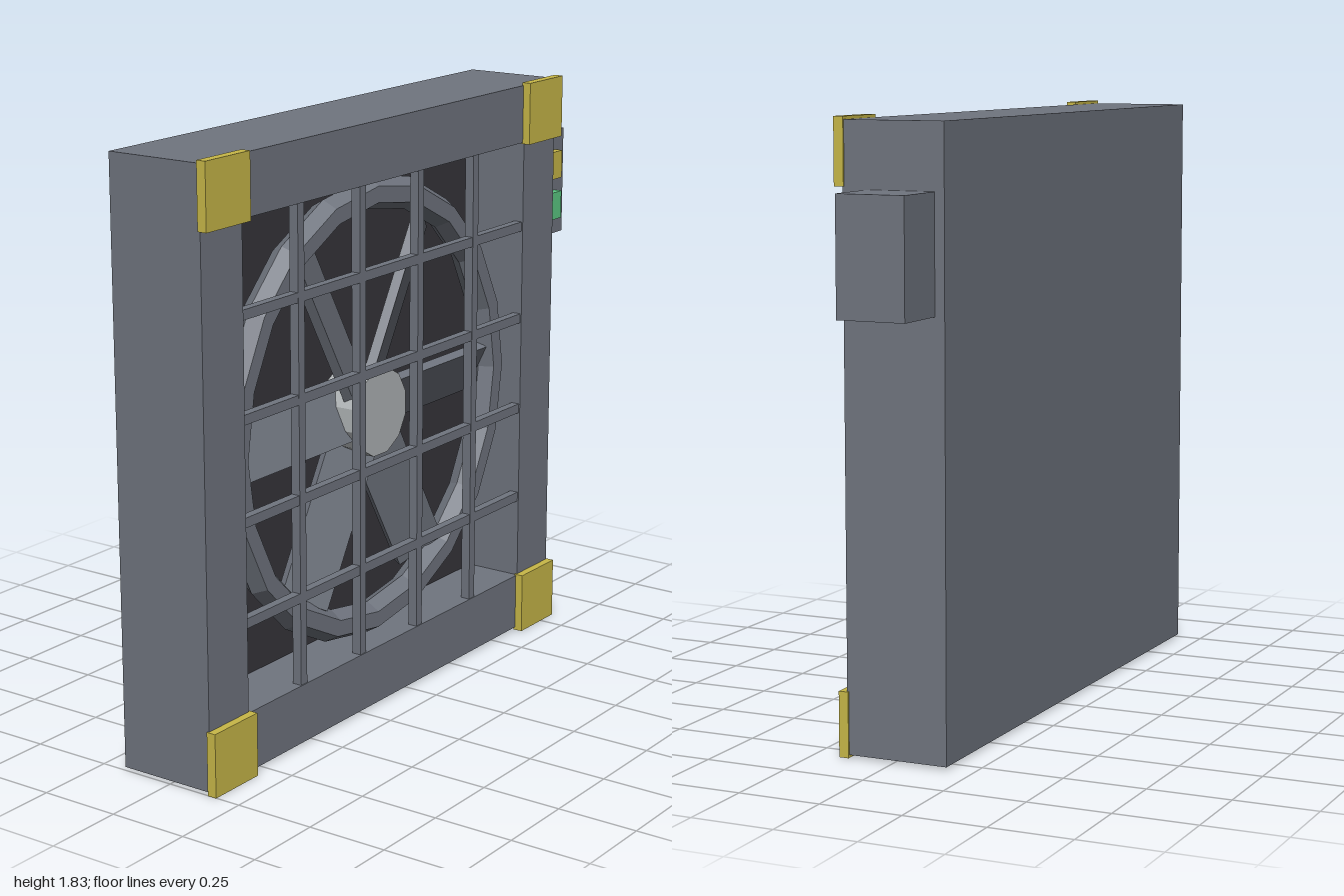
import * as THREE from 'three';

const mat = (name, color) => {
  const m = new THREE.MeshStandardMaterial({ color });
  m.name = name;
  return m;
};

export function createModel() {
  const steel = mat('steelGrey', 0x70757f);
  const dark = mat('darkRecess', 0x36353b);
  const yellow = mat('yellow', 0xc8b848);
  const green = mat('green', 0x5cc983);
  const silver = mat('silver', 0xb0b4b6);

  const model = new THREE.Group();
  model.name = 'wallFan';
  const CX = -0.09, CY = 0.917; // fan centre

  const add = (name, geometry, material, x, y, z, parent = model) => {
    const mesh = new THREE.Mesh(geometry, material);
    mesh.name = name;
    mesh.position.set(x, y, z);
    parent.add(mesh);
    return mesh;
  };
  const box = (name, material, w, h, d, x, y, z, parent) =>
    add(name, new THREE.BoxGeometry(w, h, d), material, x, y, z, parent);

  // Housing: square frame in front of a solid back
  const square = (P, s) => new P([
    new THREE.Vector2(-s, -s), new THREE.Vector2(s, -s),
    new THREE.Vector2(s, s), new THREE.Vector2(-s, s),
  ]);
  const outline = square(THREE.Shape, 0.907);
  outline.holes.push(square(THREE.Path, 0.725));
  add('frame', new THREE.ExtrudeGeometry(outline, { depth: 0.195, bevelEnabled: false }),
    steel, CX, CY, -0.05);
  box('housingBack', steel, 1.814, 1.814, 0.12, CX, CY, -0.11);
  box('recessPanel', dark, 1.45, 1.45, 0.008, CX, CY, -0.046);

  // Fan: faceted ring, six pitched blades and a hub
  const fan = new THREE.Group();
  fan.name = 'fan';
  fan.position.set(CX, CY, 0);
  model.add(fan);

  const ringGeo = new THREE.TorusGeometry(0.67, 0.05, 6, 20).toNonIndexed();
  ringGeo.computeVertexNormals();
  add('fanRing', ringGeo, steel, 0, 0, 0.05, fan);

  for (let i = 0; i < 6; i++) {
    const arm = new THREE.Group();
    arm.name = 'bladeArm';
    arm.rotation.z = i * Math.PI / 3;
    fan.add(arm);
    box('blade', steel, 0.54, 0.167, 0.03, 0.35, 0, 0.03, arm).rotation.x = 0.45;
  }

  const hubGeo = new THREE.CylinderGeometry(0.138, 0.138, 0.13, 12).toNonIndexed();
  hubGeo.rotateY(Math.PI / 12);
  hubGeo.rotateX(Math.PI / 2);
  hubGeo.computeVertexNormals();
  add('hub', hubGeo, silver, 0, 0, 0.035, fan);

  // Guard grille
  for (const k of [-1.5, -0.5, 0.5, 1.5]) {
    box('verticalBar', steel, 0.03, 1.45, 0.03, CX + k * 0.302, CY, 0.127);
    box('horizontalBar', steel, 1.45, 0.03, 0.028, CX, CY + k * 0.302, 0.127);
  }

  // Corner plates
  for (const sx of [-1, 1])
    for (const sy of [-1, 1])
      box('cornerPlate', yellow, 0.195, 0.195, 0.03, CX + sx * 0.8145, CY + sy * 0.8185, 0.155);

  // Side control box with two buttons
  box('controlBox', steel, 0.184, 0.345, 0.21, 0.908, 1.458, -0.035);
  box('yellowButton', yellow, 0.092, 0.09, 0.025, 0.907, 1.52, 0.0825);
  box('greenButton', green, 0.092, 0.09, 0.025, 0.907, 1.385, 0.0825);

  return model;
}
